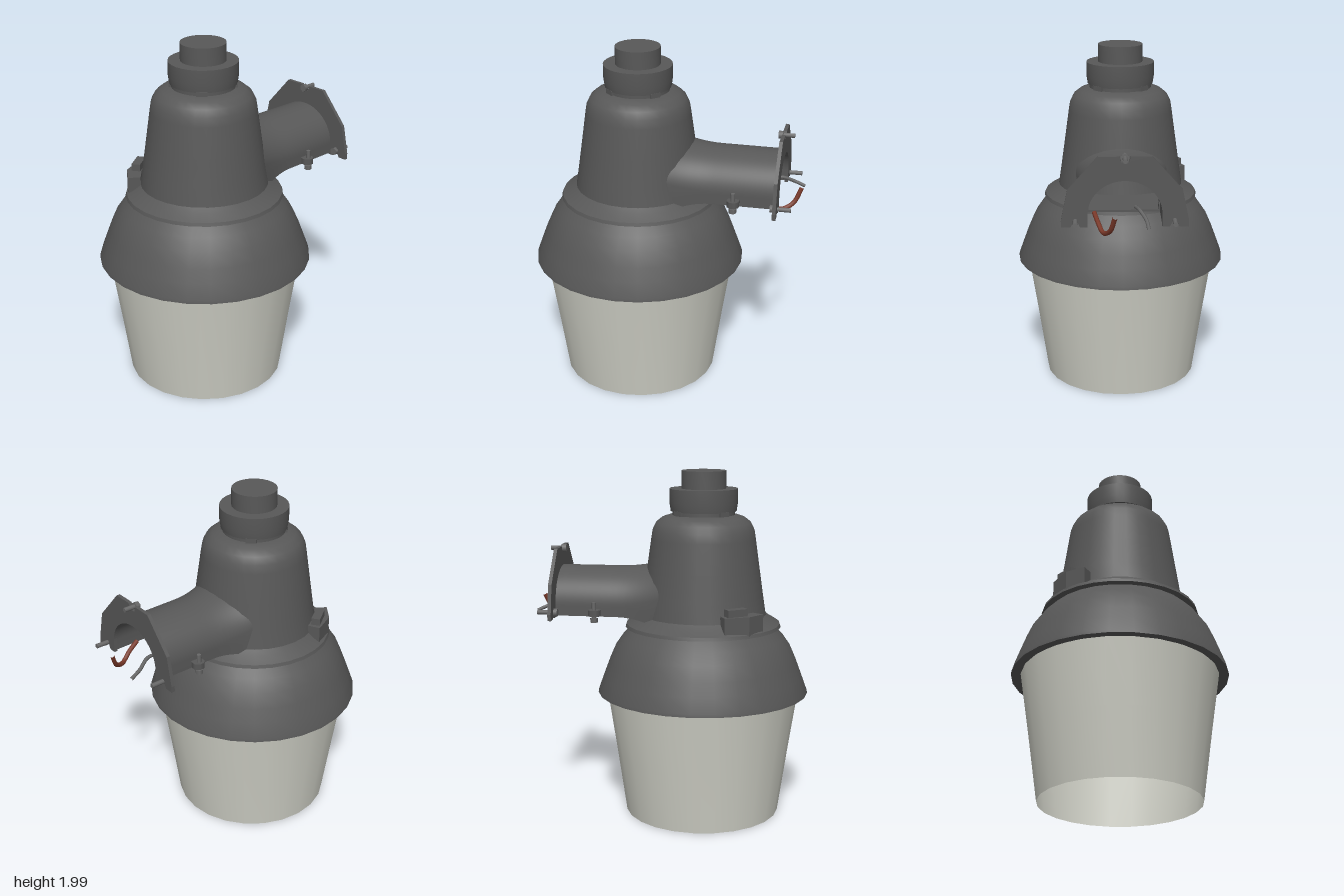
import * as THREE from 'three';
import { toCreasedNormals } from 'three/addons/utils/BufferGeometryUtils.js';

const AXIS_Z = 0.17; // lamp axis

export function createModel() {
  const root = new THREE.Group();
  root.name = 'yardLight';

  const mat = (name, color, side = THREE.FrontSide) =>
    Object.assign(new THREE.MeshStandardMaterial({ color, side }), { name });
  const housing = mat('darkGreyHousing', 0x585858, THREE.DoubleSide);
  const steel = mat('greySteel', 0x686868);
  const glass = mat('frostedGlass', 0xcfd0c6, THREE.DoubleSide);
  const copper = mat('copperWire', 0x7c3a2a);

  const add = (name, geometry, material, x = 0, y = 0, z = 0, parent = root) => {
    const mesh = new THREE.Mesh(geometry, material);
    mesh.name = name;
    mesh.position.set(x, y, z);
    parent.add(mesh);
    return mesh;
  };
  const vecs = (pts) => pts.map(([x, y]) => new THREE.Vector2(x, y));
  const turned = (name, pts, material, segments = 28) => add(name,
    toCreasedNormals(new THREE.LatheGeometry(vecs(pts), segments, Math.PI / 2), 0.6),
    material, 0, 0, AXIS_Z);

  // Turned parts, bottom to top
  turned('glassShade', [[0.448, 0.01], [0.5, 0.375], [0.555, 0.74]], glass, 24);
  turned('reflectorSkirt', [[0.55, 0.735], [0.59, 0.725], [0.608, 0.73], [0.605, 0.748],
    [0.575, 0.83], [0.545, 0.91], [0.51, 0.99], [0.465, 1.055], [0.41, 1.112]], housing);
  turned('flange', [[0.36, 1.11], [0.448, 1.113], [0.442, 1.132], [0.395, 1.16], [0.362, 1.185]], housing);
  turned('housingBody', [[0.362, 1.18], [0.345, 1.29], [0.322, 1.45], [0.298, 1.62], [0.29, 1.67],
    [0.27, 1.71], [0.235, 1.738], [0.19, 1.753], [0.1, 1.755]], housing);
  turned('sensorNeck', [[0.178, 1.74], [0.178, 1.79]], housing);
  turned('sensorCollar', [[0.15, 1.772], [0.187, 1.774], [0.194, 1.82], [0.194, 1.9], [0.1, 1.9]], housing);
  turned('sensorCap', [[0.127, 1.89], [0.127, 2], [0, 2]], housing);

  // Small clips under the sensor collar
  for (let i = 0; i < 4; i++) {
    const a = Math.PI / 4 + i * Math.PI / 2;
    const clip = add('sensorClip', new THREE.BoxGeometry(0.06, 0.035, 0.02), housing,
      Math.sin(a) * 0.178, 1.762, AXIS_Z + Math.cos(a) * 0.178);
    clip.rotation.y = a;
  }

  // Hollow arched arm, flaring where it meets the body
  const arch = new THREE.Shape();
  arch.moveTo(0.215, 1.19);
  arch.lineTo(0.215, 1.25);
  arch.absellipse(0, 1.25, 0.215, 0.2, 0, Math.PI, false);
  arch.lineTo(-0.215, 1.19);
  arch.lineTo(-0.195, 1.19);
  arch.lineTo(-0.195, 1.25);
  arch.absellipse(0, 1.25, 0.195, 0.18, Math.PI, 0, true);
  arch.lineTo(0.195, 1.19);
  arch.closePath();
  const armGeo = new THREE.ExtrudeGeometry(arch, { depth: 0.61, steps: 14, bevelEnabled: false, curveSegments: 20 });
  armGeo.translate(0, 0, -0.65);
  const p = armGeo.attributes.position;
  for (let i = 0; i < p.count; i++) {
    const t = Math.max(0, (p.getZ(i) + 0.3) / 0.26);
    p.setX(i, p.getX(i) * (1 + 0.05 * (p.getZ(i) + 0.65) + 0.2 * t * t));
    p.setY(i, p.getY(i) + (p.getY(i) > 1.25 ? 0.04 : -0.06) * t * t);
  }
  add('mountingArm', toCreasedNormals(armGeo, 0.6), housing);
  add('armFloor', new THREE.BoxGeometry(0.4, 0.012, 0.3), housing, 0, 1.198, -0.3);

  // Wall plate with arched opening, top notch and feet
  const plate = new THREE.Shape(vecs([[0.335, 1.18], [0.335, 1.215], [0.3, 1.38], [0.14, 1.56],
    [0.03, 1.56], [0.02, 1.53], [-0.02, 1.53], [-0.03, 1.56], [-0.14, 1.56], [-0.3, 1.38],
    [-0.335, 1.215], [-0.335, 1.18], [-0.285, 1.18], [-0.27, 1.21], [-0.25, 1.21],
    [-0.235, 1.18], [-0.195, 1.18], [-0.195, 1.25]]));
  plate.absellipse(0, 1.25, 0.195, 0.18, Math.PI, 0, true);
  [[0.195, 1.18], [0.235, 1.18], [0.25, 1.21], [0.27, 1.21], [0.285, 1.18]].forEach(([x, y]) => plate.lineTo(x, y));
  plate.closePath();
  add('wallPlate', new THREE.ExtrudeGeometry(plate, { depth: 0.02, bevelEnabled: false, curveSegments: 20 }),
    housing, 0, 0, -0.668);

  // Bolt along +y, head at the bottom
  const bolt = (name, length, r) => {
    const g = new THREE.Group();
    g.name = name;
    add('boltHead', new THREE.CylinderGeometry(r * 1.8, r * 1.8, 0.025, 6), steel, 0, 0.0125, 0, g);
    add('boltShank', new THREE.CylinderGeometry(r, r, length, 8), steel, 0, length / 2, 0, g);
    root.add(g);
    return g;
  };
  for (const [x, y, length] of [[-0.26, 1.215, 0.115], [0.26, 1.215, 0.115], [0, 1.547, 0.09]]) {
    const b = bolt('plateBolt', length, 0.013);
    b.position.set(x, y, -0.627);
    b.rotation.x = -Math.PI / 2;
  }

  // Clamp lugs and screws on both sides of the arm
  for (const s of [-1, 1]) {
    const lug = add('clampLug', new THREE.CylinderGeometry(0.036, 0.036, 0.035, 8), housing, s * 0.242, 1.215, -0.42);
    lug.rotation.y = Math.PI / 8;
    add('clampLugWeb', new THREE.BoxGeometry(0.05, 0.035, 0.06), housing, s * 0.215, 1.215, -0.42);
    bolt('clampScrew', 0.115, 0.012).position.set(s * 0.25, 1.163, -0.42);
  }

  // Latch on the flange
  const latch = new THREE.Shape(vecs([[-0.395, -0.33], [-0.335, -0.46], [-0.24, -0.53],
    [-0.2, -0.47], [-0.275, -0.4], [-0.33, -0.3]]));
  const latchGeo = new THREE.ExtrudeGeometry(latch, { depth: 0.11, bevelEnabled: false });
  latchGeo.rotateX(-Math.PI / 2);
  add('latch', latchGeo, housing, 0, 1.122, 0);
  const tab = add('latchTab', new THREE.BoxGeometry(0.05, 0.045, 0.12), housing, -0.32, 1.25, 0.385);
  tab.rotation.y = 0.6;

  // Loose wires
  const wire = (name, pts, r, material) => add(name, new THREE.TubeGeometry(
    new THREE.CatmullRomCurve3(pts.map((q) => new THREE.Vector3(...q))), 16, r, 6), material);
  wire('copperWire', [[0.16, 1.22, -0.54], [0.14, 1.185, -0.61], [0.115, 1.15, -0.67],
    [0.08, 1.18, -0.735], [0.055, 1.265, -0.775]], 0.013, copper);
  wire('greyWire', [[-0.06, 1.25, -0.54], [-0.08, 1.26, -0.64], [-0.11, 1.23, -0.71], [-0.12, 1.2, -0.775]], 0.01, steel);

  return root;
}
